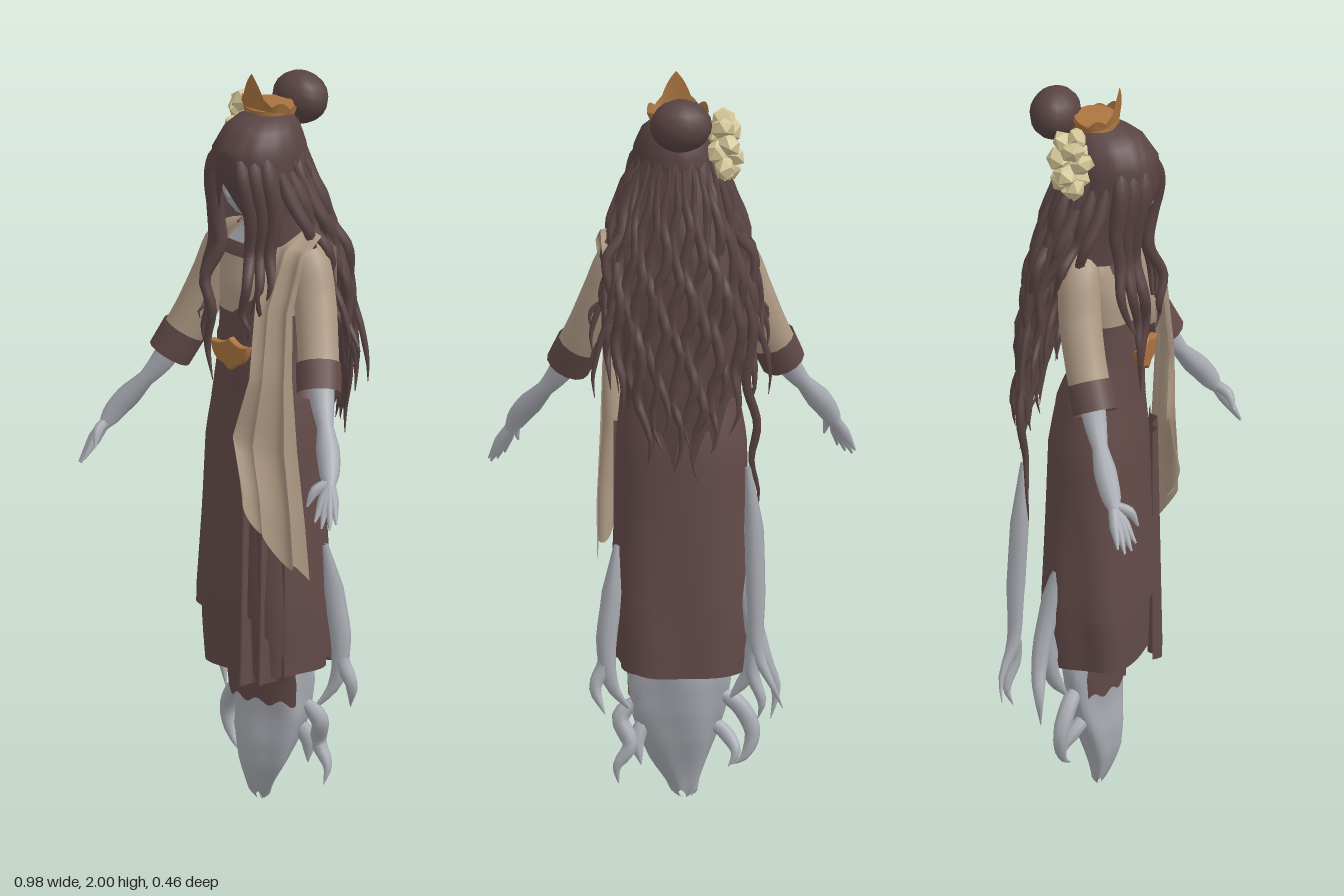
import * as THREE from 'three';
import { mergeVertices } from 'three/addons/utils/BufferGeometryUtils.js';

const { lerp, clamp } = THREE.MathUtils;
const { sin, cos, abs, min, max, PI } = Math;

const material = (name, color) => {
  const m = new THREE.MeshStandardMaterial({ color, side: THREE.DoubleSide });
  m.name = name;
  return m;
};

// Body and hair cross-sections: [y, centre x, centre z, radius x, radius z]
const BODY = [
  [1.62, 0, -.01, .04, .04], [1.57, 0, -.01, .09, .05], [1.52, 0, 0, .15, .065],
  [1.42, 0, .02, .13, .08], [1.33, 0, .025, .12, .08], [1.24, 0, .025, .122, .085],
  [1.12, -.005, 0, .155, .11], [1, -.01, -.005, .172, .125], [.8, -.01, -.005, .175, .128],
  [.55, -.01, -.005, .183, .132], [.34, -.005, -.01, .165, .13]];
const CAP = [
  [1.9, 0, -.02, .001, .001], [1.888, 0, -.01, .05, .06], [1.86, 0, .01, .09, .1],
  [1.8, 0, .02, .115, .133], [1.72, 0, .02, .122, .135], [1.62, 0, 0, .135, .13],
  [1.5, 0, -.02, .16, .13]];
const BACK_HAIR = [
  [1.86, 0, 0, .08, .09], [1.75, 0, 0, .122, .12], [1.6, 0, -.05, .165, .105],
  [1.45, 0, -.1, .19, .08], [1.3, 0, -.125, .185, .064], [1.15, 0, -.145, .165, .058],
  [1, 0, -.165, .125, .045], [.9, 0, -.18, .08, .03]];
const GHOST = [
  [.45, 0, -.02, .13, .09], [.34, 0, -.025, .135, .075], [.25, .005, -.02, .125, .065],
  [.17, 0, -.005, .1, .06], [.1, -.005, .005, .072, .045], [.05, -.015, .005, .045, .028],
  [.015, -.02, 0, .034, .016], [0, -.02, 0, .012, .006]];

function section(rows, y) {
  let i = 0;
  while (i < rows.length - 2 && y < rows[i + 1][0]) i++;
  const t = clamp((rows[i][0] - y) / (rows[i][0] - rows[i + 1][0]), 0, 1);
  return rows[i].map((p, k) => lerp(p, rows[i + 1][k], t));
}

// Surface from a rule f(u, v) -> [x, y, z], v running downward
function grid(nu, nv, f) {
  const g = new THREE.PlaneGeometry(1, 1, nu, nv);
  const p = g.attributes.position;
  for (let i = 0; i < p.count; i++) p.setXYZ(i, ...f(p.getX(i) + .5, .5 - p.getY(i)));
  g.deleteAttribute('uv');
  g.deleteAttribute('normal');
  const merged = mergeVertices(g, 1e-5);
  merged.computeVertexNormals();
  return merged;
}

// Elliptical shell between two heights, which may depend on the angle (0 = front)
function shell(rows, top, bottom, { k = 1, a0 = -PI, a1 = PI, nu = 40, nv = 16, ripple = () => 0 } = {}) {
  const h = (e, a) => typeof e === 'function' ? e(a) : e;
  return grid(nu, nv, (u, v) => {
    const a = lerp(a0, a1, u), y = lerp(h(top, a), h(bottom, a), v);
    const [, cx, cz, rx, rz] = section(rows, y);
    const s = k + ripple(a, y);
    return [cx + sin(a) * rx * s, y, cz + cos(a) * rz * s];
  });
}

// Tube along points whose radius follows a list
function taper(points, radii, sides = 6, steps = 4) {
  const curve = new THREE.CatmullRomCurve3(points.map(q => new THREE.Vector3(...q)));
  const seg = (points.length - 1) * steps;
  const g = new THREE.TubeGeometry(curve, seg, 1, sides, false);
  const p = g.attributes.position, v = new THREE.Vector3();
  for (let i = 0; i < p.count; i++) {
    const t = Math.floor(i / (sides + 1)) / seg, c = curve.getPointAt(t);
    const f = t * (radii.length - 1), j = min(Math.floor(f), radii.length - 2);
    v.fromBufferAttribute(p, i).sub(c).multiplyScalar(lerp(radii[j], radii[j + 1], f - j)).add(c);
    p.setXYZ(i, v.x, v.y, v.z);
  }
  return g;
}

export function createModel() {
  const root = new THREE.Group();
  const dress = material('plum cloth', 0x634b49);
  const hair = material('dark hair', 0x594343);
  const tan = material('tan cloth', 0xae9984);
  const skin = material('pale grey skin', 0xa9acb3);
  const gold = material('bronze gold', 0xa9733f);
  const cream = material('cream petals', 0xd4c798);
  const add = (name, geometry, mat, parent = root) => {
    const m = new THREE.Mesh(geometry, mat);
    m.name = name;
    parent.add(m);
    return m;
  };
  const ball = (name, mat, pos, size) => {
    const m = add(name, new THREE.SphereGeometry(1, 14, 10), mat);
    m.position.set(...pos);
    m.scale.set(...size);
  };

  // Dress: upper body, waist, sash, neckline and skirt layers that square off downward
  add('upperDress', shell(BODY, 1.6, 1.32), tan);
  add('bodice', shell(BODY, 1.35, 1.1, { k: 1.015 }), dress);
  add('sash', shell(BODY, a => 1.36 + .09 * a, a => 1.3 + .09 * a, { k: 1.06, a0: -1, a1: 1.1, nv: 3 }), dress);
  add('neckline', shell(BODY, 1.53, 1.495, { k: 1.05, a0: -.65, a1: .65, nv: 3 }), dress);
  add('collarSkin', shell(BODY, 1.6, 1.53, { k: 1.04, a0: -.7, a1: .7, nv: 4 }), skin);
  const folds = (a, y) => (.012 * sin(7 * a + 5 * y) + .15 * sin(2 * a) ** 2) * clamp((1.1 - y) * 1.6, 0, 1);
  const hem = a => .37 + .16 * clamp(1.7 * cos(a + .5), 0, 1) + .06 * max(0, sin(a)) ** 4;
  add('underSkirt', shell(BODY, 1, .375, { k: .92, ripple: folds, nu: 60 }), dress);
  add('overSkirt', shell(BODY, 1.2, hem, { k: 1.01, ripple: folds, nu: 60 }), dress);
  add('petticoat', shell(GHOST, .45, a => .285 + .008 * sin(11 * a), { k: 1.1, a0: -1.2, a1: 1.1 }), dress);
  add('frontPleats', grid(24, 10, (u, v) => [
    lerp(.035, .155, u) + .008 * sin(u * 14), lerp(1, .345, v) + .02 * u,
    lerp(.13, .08, u * u) + .02 * sin(u * 13) * (.3 + .7 * v)]), dress);

  // Belt ornament
  const plate = new THREE.Shape();
  plate.moveTo(-.07, .03);
  plate.quadraticCurveTo(-.03, .02, 0, .045);
  plate.quadraticCurveTo(.03, .02, .064, .03);
  plate.quadraticCurveTo(.055, -.02, .02, -.022);
  plate.lineTo(0, -.038);
  plate.lineTo(-.025, -.022);
  plate.quadraticCurveTo(-.06, -.02, -.07, .03);
  add('beltOrnament', new THREE.ExtrudeGeometry(plate, { depth: .014, bevelSize: .003, bevelThickness: .004, bevelSegments: 1 }), gold)
    .position.set(0, 1.24, .115);

  // Shawl over the left shoulder: [y at inner edge, y at outer edge, x0, x1, z0, z1]
  const SHAWL = [
    [1.42, 1.38, .06, .19, -.085, -.08], [1.55, 1.54, .07, .205, -.065, -.065], [1.605, 1.58, .08, .205, -.01, -.01],
    [1.55, 1.53, .095, .215, .07, .06], [1.4, 1.38, .1, .2, .13, .085], [1.2, 1.2, .1, .2, .145, .085],
    [1.04, 1, .045, .21, .15, .075], [.93, .82, .085, .22, .16, .06], [.88, .67, .1, .22, .165, .045]];
  add('shawl', grid(40, 32, (u, v) => {
    const f = v * 8, i = min(Math.floor(f), 7);
    const [y0, y1, x0, x1, z0, z1] = SHAWL[i].map((p, k) => lerp(p, SHAWL[i + 1][k], f - i));
    const w = clamp(v * 2 - .5, 0, 1), fold = u * 15 + v;
    return [lerp(x0, x1, u) + .01 * w * cos(fold), lerp(y0, y1, u) - .06 * max(0, v - .7) * 3 * sin(u * 7) ** 2,
      lerp(z0, z1, u) + w * (.02 * sin(fold) + .03 * sin(u * PI))];
  }), tan);

  // Head and neck
  ball('face', skin, [0, 1.71, .045], [.078, .105, .088]);
  ball('nose', skin, [0, 1.685, .13], [.011, .018, .014]);
  add('neck', taper([[0, 1.68, .01], [0, 1.6, 0], [0, 1.53, 0]], [.038, .036, .045], 10), skin);

  // Hair: cap parted over the face, bun and long back sheet
  add('hairCap', shell(CAP, 1.9, a => 1.715 - .24 * min(abs(a), .75),
    { nu: 64, nv: 14, ripple: (a, y) => .008 * sin(13 * a + 9 * y) }), hair);
  ball('bun', hair, [0, 1.9, -.128], [.083, .071, .068]);
  const wave = (a, y) => .03 * sin(16 * a + 3 * sin(20 * y));
  add('backHair', shell(BACK_HAIR, 1.86, a => .96 + .1 * abs(cos(a * 7)) + .2 * abs(sin(a)) ** 3,
    { a0: PI / 2, a1: PI * 1.5, nu: 60, nv: 26, ripple: wave }), hair);

  // Wavy locks laid over the back sheet
  const locks = new THREE.Group();
  locks.name = 'hairLocks';
  root.add(locks);
  for (let i = 0; i < 18; i++) {
    const a = PI / 2 + PI * i / 17, end = .93 + .13 * (i * 7 % 5) / 4 + .25 * abs(sin(a)) ** 3;
    const points = Array.from({ length: 14 }, (_, j) => {
      const t = j / 13, y = lerp(1.8, end, t);
      const [, cx, cz, rx, rz] = section(BACK_HAIR, y);
      const s = .99 + .12 * t * t * (1 + sin(i * 3));
      const sway = .015 * sin(y * 30 + i * 2.1) * min(1, t * 3);
      return [cx + sin(a) * rx * s + sway * abs(cos(a)), y, cz + cos(a) * rz * s + sway * (.3 + .4 * abs(sin(a)))];
    });
    add('backLock', taper(points, [.002, .012, .015, .016, .015, .012, .001], 6, 2), hair, locks);
  }

  for (const s of [-1, 1]) {
    const side = q => q.map(([x, y, z]) => [x * s, y, z]);
    // Locks framing the face and falling over the chest
    for (let i = 0; i < 3; i++) {
      const d = i * .024, end = (s < 0 ? 1.16 : 1.29) + .08 * i;
      add('frontLock', taper(side([[.02 + d, 1.82, .12 - d], [.058 + d, 1.73, .135 - d], [.068 + d, 1.62, .115 - d * .8],
        [.058 + d, 1.53, .11 - d * .5], [.08 + d, 1.44, .145 - d], [.058 + d, 1.36, .14 - d * .5],
        [.08 + d * .7, lerp(1.36, end, .5), .135], [.065 + d, end, .13]]), [.008, .024, .024, .02, .017, .014, .01, .001]), hair, locks);
    }
    // Loose wavy locks over the shoulders
    for (let i = 0; i < 4; i++) {
      const z = -.035 * i, e = .05 * i, w = .012 * (i % 2 ? -1 : 1);
      add('sideLock', taper(side([[.1, 1.76, .05 + z], [.145, 1.66, .035 + z], [.165 + w, 1.59, .01 + z], [.185 - w, 1.53, -.01 + z],
        [.195 + w, 1.47 - e * .4, -.03 + z], [.205 - w, 1.41 - e * .7, -.04 + z], [.235, 1.36 - e, -.045 + z], [.23, 1.31 - e, -.05 + z]]),
      [.008, .022, .018, .014, .012, .01, .008, .001]), hair, locks);
    }

    // Arms: sleeve, cuff, and forearm running into the hand
    const arm = new THREE.Group();
    arm.name = s > 0 ? 'leftArm' : 'rightArm';
    root.add(arm);
    add('sleeve', taper(side([[.08, 1.545, -.01], [.15, 1.505, -.01], [.195, 1.4, .005], [.238, 1.29, .035], [.268, 1.22, .06]]),
      [.035, .058, .058, .056, .056], 14), tan, arm);
    add('cuff', taper(side([[.255, 1.25, .05], [.285, 1.18, .077]]), [.061, .06], 14, 2), dress, arm);
    add('forearm', taper(side([[.25, 1.28, .04], [.305, 1.16, .083], [.362, 1.08, .122], [.4, 1.03, .15], [.425, .985, .172], [.445, .945, .19]]),
      [.03, .037, .032, .022, .032, .028, .004], 10), skin, arm);
    const tips = [[.485, .885, .205], [.478, .872, .222], [.46, .875, .235], [.44, .89, .24], [.405, .925, .235]];
    tips.forEach(([x, y, z], i) => add(i < 4 ? 'finger' : 'thumb', taper(side([
      [.427, .985, .172], [i < 4 ? .459 - i * .008 : .415, i < 4 ? .935 : .965, .188 + i * .007], [x, y, z]]),
    [.014, .015, .003], 6), skin, arm));
  }
  add('longLock', taper([[-.15, 1.5, -.12], [-.19, 1.35, -.16], [-.17, 1.2, -.17], [-.2, 1.08, -.16], [-.185, .98, -.15],
    [-.205, .88, -.14], [-.19, .8, -.14]], [.014, .015, .012, .001]), hair, locks);

  // Tiara with a tall front point
  add('tiara', grid(64, 2, (u, v) => {
    const a = (u * 2 - 1) * PI, front = max(0, 1 - abs(a) / .5);
    const rise = .014 + .018 * abs(sin(a * 4)) * max(0, cos(a / 2)) + .083 * front;
    const r = .076 + .006 * (1 - v);
    return [sin(a) * r, 1.887 + .012 * cos(a) + rise * (1 - v), -.014 + cos(a) * r * .78];
  }), gold);
  const lid = add('tiaraBase', new THREE.CylinderGeometry(.074, .077, .012, 28), gold);
  lid.position.set(0, 1.897, -.014);
  lid.scale.z = .78;
  lid.rotation.x = .15;

  // Flower cluster on the right of the head
  const flower = new THREE.Group();
  flower.name = 'flower';
  root.add(flower);
  for (let i = 0; i < 12; i++) {
    const a = i * 2.4, h = i / 11 * 2 - 1, w = Math.sqrt(1 - h * h * .8);
    const petal = add('petal', new THREE.IcosahedronGeometry(.037, 0), cream, flower);
    petal.position.set(-.122 + .022 * cos(a) * w, 1.81 + .072 * h, -.045 + .034 * sin(a) * w);
    petal.rotation.set(i, i * 1.7, i * .6);
    petal.scale.set(1, .75, 1);
  }

  // Ghostly lower body and trailing wisps
  add('ghostTail', shell(GHOST, .45, a => .012 * (1 + sin(5 * a)), { nv: 20, ripple: (a, y) => .05 * sin(5 * a + 12 * y) }), skin);
  const wisps = [
    [[[.165, .72, -.06], [.18, .58, -.08], [.195, .45, -.09], [.18, .34, -.085], [.12, .25, -.05]], .028],
    [[[.19, .48, -.09], [.2, .4, -.09], [.225, .34, -.1], [.2, .27, -.12]], .02],
    [[[.09, .3, -.03], [.155, .24, -.05], [.13, .17, -.07], [.165, .11, -.07], [.16, .06, -.06]], .024],
    [[[.07, .25, -.02], [.11, .18, -.05], [.1, .11, -.06]], .022],
    [[[-.175, .96, -.16], [-.19, .8, -.165], [-.195, .6, -.175], [-.2, .45, -.18], [-.24, .36, -.2], [-.265, .3, -.19]], .026],
    [[[-.2, .5, -.175], [-.185, .4, -.18], [-.21, .32, -.195], [-.2, .27, -.18]], .018],
    [[[-.165, .7, -.06], [-.19, .52, -.09], [-.225, .4, -.1], [-.255, .32, -.09], [-.24, .24, -.09]], .026],
    [[[-.19, .5, -.08], [-.19, .38, -.08], [-.13, .28, -.05]], .024],
    [[[-.08, .31, -.03], [-.155, .27, -.04], [-.195, .19, -.05], [-.17, .12, -.05], [-.14, .1, -.04]], .024],
    [[[-.07, .22, -.01], [-.12, .19, -.03], [-.15, .14, -.06], [-.13, .1, -.06]], .02]];
  for (const [points, r] of wisps) add('wisp', taper(points, [r * .3, r, r, r * .7, .001], 8), skin);
  return root;
}
